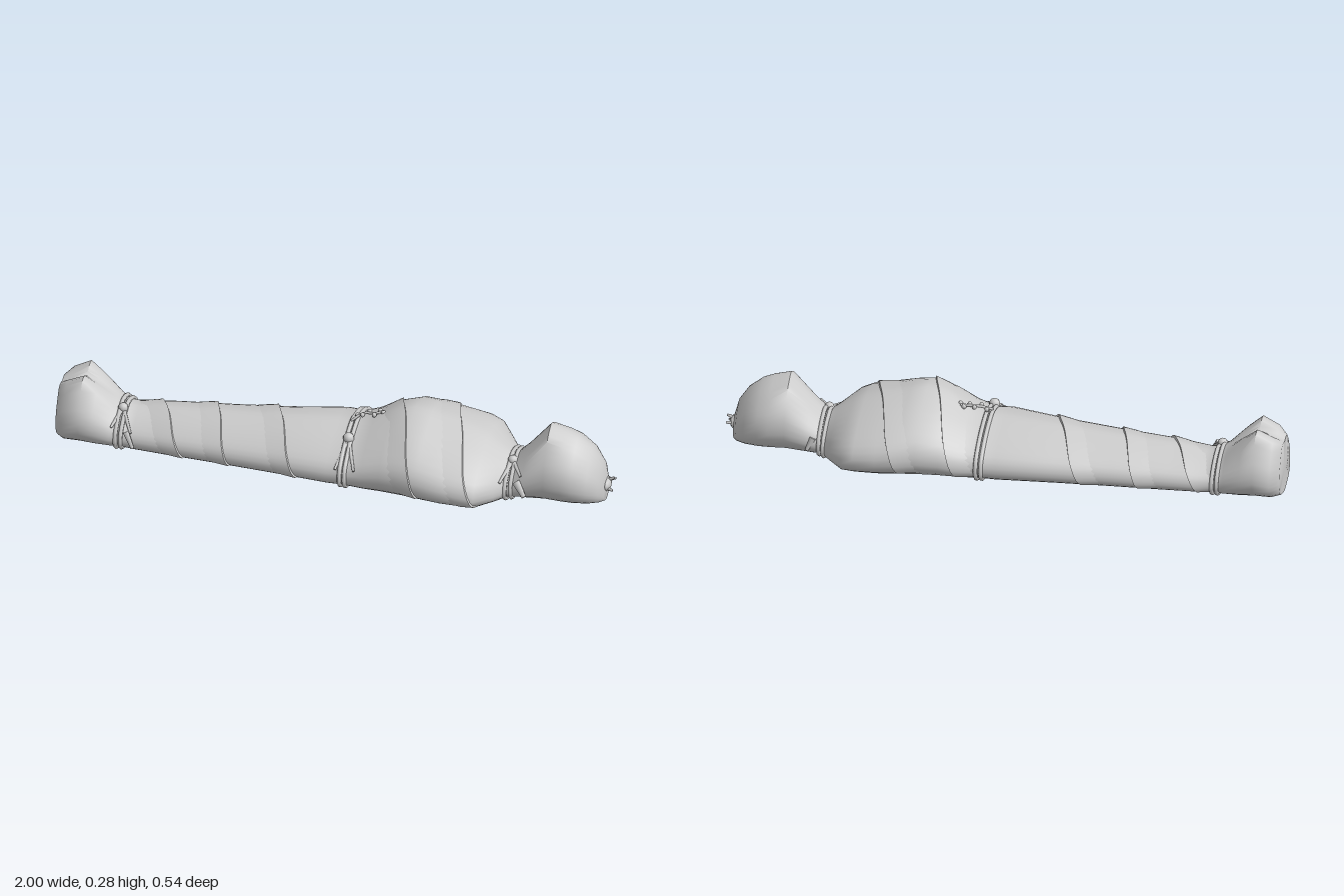
import * as THREE from 'three';
import { toCreasedNormals } from 'three/addons/utils/BufferGeometryUtils.js';

const cloth = new THREE.MeshStandardMaterial({ color: 0xcccccc });
cloth.name = 'grey cloth';

// x, half width, height, cleft between the feet (0 to 1)
const STATIONS = [
  [-1, 0.1, 0.21, 0.6], [-0.97, 0.138, 0.23, 0.9], [-0.91, 0.145, 0.258, 1], [-0.86, 0.143, 0.22, 0.7],
  [-0.8, 0.13, 0.165, 0.2], [-0.77, 0.118, 0.142, 0], [-0.72, 0.125, 0.135, 0], [-0.6, 0.14, 0.148, 0],
  [-0.4, 0.158, 0.16, 0], [-0.2, 0.18, 0.174, 0], [0, 0.207, 0.194, 0], [0.06, 0.205, 0.19, 0],
  [0.13, 0.222, 0.213, 0], [0.2, 0.238, 0.256, 0], [0.28, 0.254, 0.28, 0], [0.34, 0.262, 0.268, 0],
  [0.42, 0.268, 0.242, 0], [0.5, 0.264, 0.222, 0], [0.545, 0.25, 0.2, 0], [0.6, 0.175, 0.158, 0],
  [0.64, 0.115, 0.132, 0], [0.69, 0.123, 0.185, 0], [0.77, 0.134, 0.282, 0], [0.83, 0.137, 0.265, 0],
  [0.87, 0.133, 0.248, 0], [0.92, 0.113, 0.208, 0], [0.955, 0.078, 0.155, 0], [0.97, 0.042, 0.1, 0],
];

// half of the cross-section, from underside to top: width, height
const HALF = [[0, 0], [0.4, 0.05], [0.74, 0.11], [0.93, 0.22], [1, 0.36], [0.95, 0.55], [0.78, 0.71], [0.5, 0.87], [0.22, 0.96], [0, 1]];
const section = (cleft) => {
  const half = HALF.map(([w, h], i) => [w, h + cleft * [0, 0, 0, 0, 0, 0, 0.03, 0.11, 0.02, -0.1][i]]);
  const pts = [...half, ...half.slice(1, -1).reverse().map(([w, h]) => [-w, h])];
  return new THREE.CatmullRomCurve3(pts.map(([w, h]) => new THREE.Vector3(0, h, w)), true, 'catmullrom', 0.5);
};
const PLAIN = section(0);

// point on the wrapped body; u runs from underside (0) by the +z side to the top (0.5) and back
function skin(x, u, lift = 0) {
  let i = 0;
  while (i < STATIONS.length - 2 && x > STATIONS[i + 1][0]) i++;
  const a = STATIONS[i], b = STATIONS[i + 1];
  const t = THREE.MathUtils.clamp((x - a[0]) / (b[0] - a[0]), 0, 1);
  const [, w, h, cleft] = a.map((v, k) => v + (b[k] - v) * t);
  const p = (cleft > 0 ? section(cleft) : PLAIN).getPoint(((u % 1) + 1) % 1);
  p.set(x, p.y * h, p.z * w);
  const out = new THREE.Vector3(0, p.y - h * 0.4, p.z).normalize();
  p.addScaledVector(out, lift);
  p.y = Math.max(p.y, 0);
  return p;
}

// surface through rows of points
function loft(rows, closed) {
  const n = rows[0].length, pos = [], index = [];
  rows.forEach((r) => r.forEach((p) => pos.push(p.x, p.y, p.z)));
  for (let i = 0; i < rows.length - 1; i++) {
    for (let j = 0; j < (closed ? n : n - 1); j++) {
      const k = (j + 1) % n, a = i * n, b = a + n;
      index.push(a + j, b + j, b + k, a + j, b + k, a + k);
    }
  }
  const g = new THREE.BufferGeometry();
  g.setAttribute('position', new THREE.Float32BufferAttribute(pos, 3));
  g.setIndex(index);
  g.computeVertexNormals();
  return g;
}

export function createModel() {
  const model = new THREE.Group();
  model.name = 'wrappedFigure';
  const add = (name, geo, parent = model) => {
    const m = new THREE.Mesh(geo, cloth);
    m.name = name;
    parent.add(m);
    return m;
  };

  // shrouded body with closed ends
  const ring = (x) => Array.from({ length: 36 }, (_, j) => skin(x, j / 36));
  const cap = (x, y) => Array.from({ length: 36 }, () => new THREE.Vector3(x, y, 0));
  const body = loft([cap(-1, 0.09), ...STATIONS.map((s) => ring(s[0])), cap(0.975, 0.06)], true);
  add('shroud', toCreasedNormals(body, 0.9));

  // overlapping slanted wraps: x at the far side, x at the near side
  const wraps = [[-0.71, -0.53], [-0.5, -0.36], [-0.3, -0.11], [0.14, 0.34], [0.34, 0.55]];
  wraps.forEach(([far, near]) => {
    const edge = [[-0.1, -0.004], [-0.05, 0.003], [0, 0.008], [0.003, -0.004]];
    const rows = edge.map(([dx, lift]) => Array.from({ length: 29 }, (_, j) => {
      const t = j / 28;
      return skin(near + (far - near) * t + dx, 0.17 + 0.66 * t, lift);
    }));
    add('clothWrap', toCreasedNormals(loft(rows, false), 0.6));
  });

  // loose strip: a flattened tapering piece between two points
  const strip = (name, from, to, r, parent) => {
    const a = new THREE.Vector3(...from), b = new THREE.Vector3(...to);
    const g = new THREE.CylinderGeometry(r, r * 0.55, a.distanceTo(b), 6);
    g.scale(1, 1, 0.6);
    const m = add(name, g, parent);
    m.position.copy(a).lerp(b, 0.5);
    m.quaternion.setFromUnitVectors(new THREE.Vector3(0, -1, 0), b.clone().sub(a).normalize());
  };

  // doubled cords with a knot and two hanging tails
  const cords = [[-0.77, 0.43, 0.018], [0.06, 0.4, 0.02], [0.64, 0.43, 0.018]];
  cords.forEach(([x, uKnot, size]) => {
    const tie = new THREE.Group();
    tie.name = 'cordTie';
    model.add(tie);
    for (const s of [-1, 1]) {
      const pts = Array.from({ length: 32 }, (_, j) => skin(x + s * 0.009, j / 32, 0.004));
      pts.forEach((p) => { p.y = Math.max(p.y, 0.008); });
      add('cord', new THREE.TubeGeometry(new THREE.CatmullRomCurve3(pts, true), 64, 0.008, 6, true), tie);
      const k = skin(x, uKnot, 0.012), e = skin(x + s * 0.035 + 0.01, uKnot - 0.12, 0.01);
      strip('cordTail', k.toArray(), e.toArray(), 0.009, tie);
    }
    const knot = add('knot', new THREE.SphereGeometry(size, 10, 8), tie);
    knot.position.copy(skin(x, uKnot, 0.012));
  });

  // loose ends beside the ankles and the neck
  strip('looseEnd', [-0.74, 0.1, 0.125], [-0.71, 0.05, 0.148], 0.012, model);
  strip('looseEnd', [0.67, 0.095, 0.115], [0.705, 0.055, 0.145], 0.016, model);
  strip('looseEnd', [0.67, 0.09, -0.115], [0.69, 0.045, -0.125], 0.013, model);

  // small sprig laid across the waist
  const stem = new THREE.CatmullRomCurve3([[0.05, 0.2, 0.02], [0.09, 0.222, -0.005], [0.13, 0.224, -0.01], [0.16, 0.23, -0.022]]
    .map((p) => new THREE.Vector3(...p)));
  add('sprigStem', new THREE.TubeGeometry(stem, 12, 0.005, 5));
  for (let i = 0; i < 6; i++) {
    const bud = add('sprigBud', new THREE.SphereGeometry(0.009, 7, 5));
    bud.position.copy(stem.getPoint(0.15 + i * 0.17));
    bud.position.z += (i % 2 ? 1 : -1) * 0.011;
  }

  // gathered and tied cloth at the crown of the head
  const gather = add('crownGather', new THREE.SphereGeometry(0.032, 10, 8));
  gather.scale.set(0.5, 0.72, 1.08);
  gather.position.set(0.972, 0.063, 0);
  for (const [y, z] of [[0.088, -0.005], [0.07, -0.03], [0.052, 0.026]]) {
    strip('crownTuft', [0.975, 0.063 + (y - 0.063) * 0.6, z * 0.7], [0.998, y, z], 0.008, model);
  }
  return model;
}
